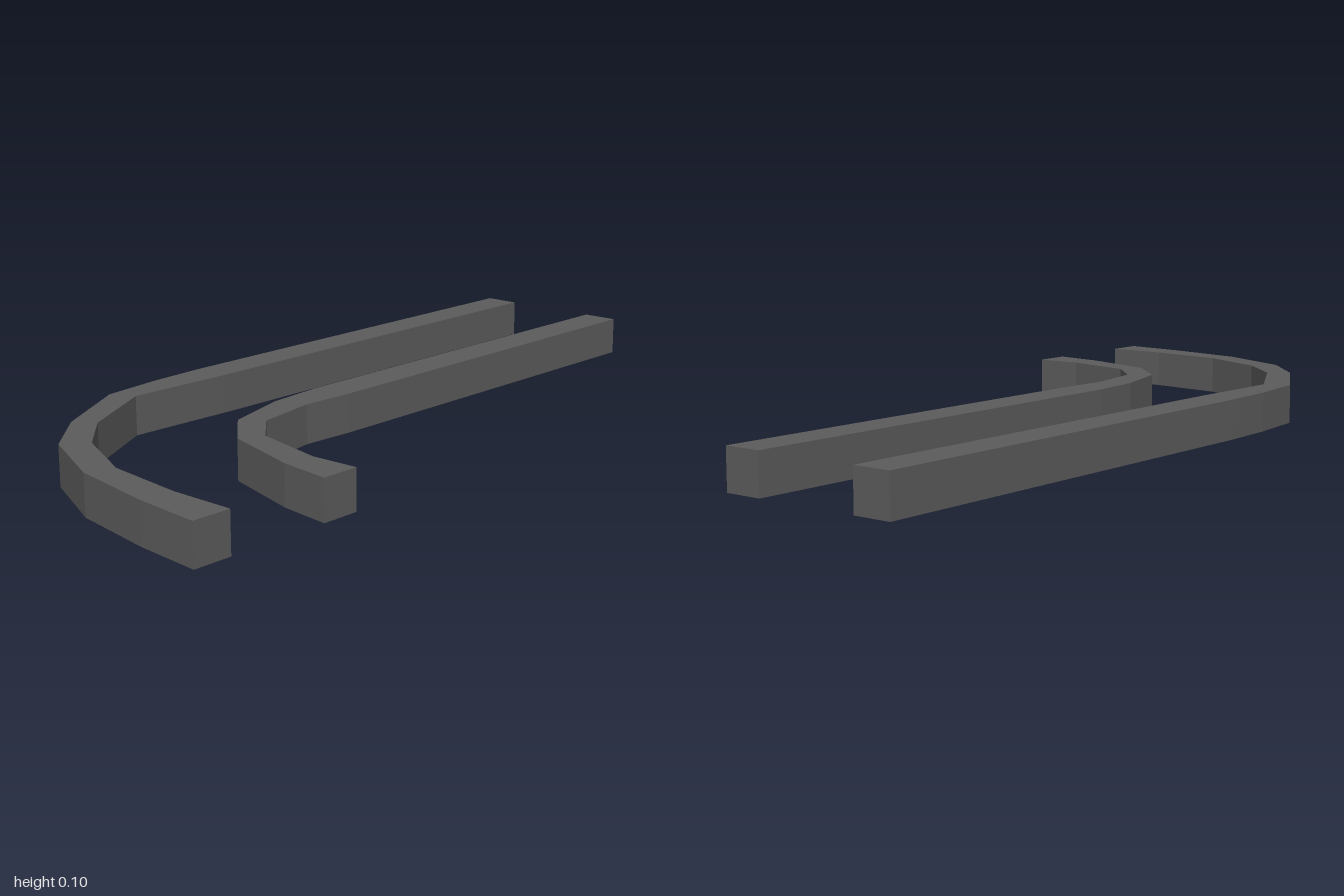
import * as THREE from 'three';

const HEIGHT = 0.097;

// Outline of a bent rail on the ground: [x, z] pairs along its outer and inner edges
function makeRail(name, outer, inner, material) {
  const points = [...outer, ...inner.slice().reverse()].map(([x, z]) => new THREE.Vector2(x, -z));
  const geometry = new THREE.ExtrudeGeometry(new THREE.Shape(points), { depth: HEIGHT, bevelEnabled: false });
  geometry.rotateX(-Math.PI / 2);
  const mesh = new THREE.Mesh(geometry, material);
  mesh.name = name;
  return mesh;
}

export function createModel() {
  const group = new THREE.Group();
  group.name = 'curvedRails';
  const darkGrey = new THREE.MeshStandardMaterial({ color: 0x5c5c5c, flatShading: true });
  darkGrey.name = 'darkGrey';

  // Long rail around the outside of the bend
  group.add(makeRail('outerRail',
    [[-0.432, -1], [-0.432, 0.19], [-0.425, 0.34], [-0.405, 0.505], [-0.28, 0.72], [-0.16, 0.85], [0.04, 0.943], [0.26, 0.983], [0.43, 1]],
    [[-0.338, -1], [-0.338, 0.19], [-0.342, 0.33], [-0.345, 0.475], [-0.23, 0.685], [-0.115, 0.795], [0.065, 0.878], [0.27, 0.903], [0.43, 0.903]],
    darkGrey));

  // Shorter rail on the inside of the bend
  group.add(makeRail('innerRail',
    [[-0.078, -1], [-0.078, 0.14], [-0.065, 0.285], [-0.013, 0.458], [0.095, 0.563], [0.30, 0.625], [0.43, 0.643]],
    [[0.017, -1], [0.017, 0.12], [0.01, 0.257], [0.04, 0.42], [0.125, 0.507], [0.31, 0.55], [0.43, 0.546]],
    darkGrey));

  return group;
}
